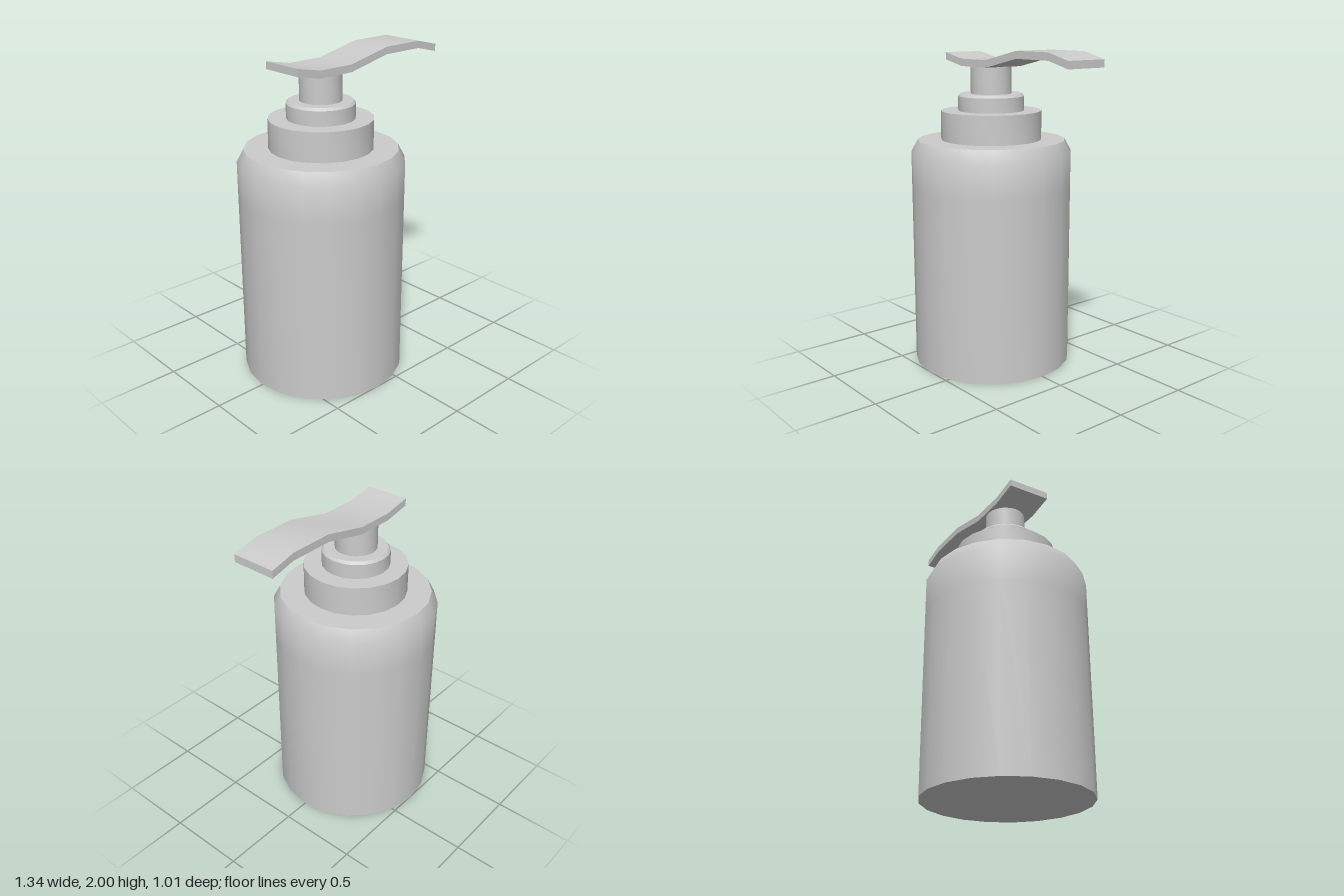
import * as THREE from 'three';
import { toCreasedNormals } from 'three/addons/utils/BufferGeometryUtils.js';

const SIDES = 20;
const AXIS_X = -0.168; // the bottle stands left of centre, balancing the spout

export function createModel() {
  const group = new THREE.Group();
  group.name = 'pumpBottle';
  const material = new THREE.MeshStandardMaterial({ color: 0xcccccc });

  function add(name, geometry, crease = 0.65) {
    const mesh = new THREE.Mesh(toCreasedNormals(geometry, crease), material);
    mesh.name = name;
    group.add(mesh);
    return mesh;
  }

  // Closed turned part from [radius, height] pairs, bottom to top
  function turned(name, profile) {
    const first = profile[0], last = profile[profile.length - 1];
    const points = [[0, first[1]], ...profile, [0, last[1]]].map(([r, y]) => new THREE.Vector2(r, y));
    add(name, new THREE.LatheGeometry(points, SIDES)).position.x = AXIS_X;
  }

  // Bottle and the stepped pump on top of it
  turned('bottle', [[0.504, 0], [0.504, 1.15], [0.504, 1.363], [0.463, 1.44]]);
  turned('collar', [[0.315, 1.44], [0.315, 1.62]]);
  turned('pumpCap', [[0.206, 1.62], [0.206, 1.71], [0.192, 1.725]]);
  turned('stem', [[0.127, 1.725], [0.127, 1.893]]);

  // Wavy flat press lever, an even band extruded across z
  const top = [[-0.455, 1.97], [-0.286, 1.936], [-0.05, 1.936], [0.235, 2], [0.51, 2], [0.667, 1.961]];
  const thickness = 0.045;
  const bottom = top.map(([x, y]) => [x, y - thickness]).reverse();
  const outline = [...top, ...bottom].map(([x, y]) => new THREE.Vector2(x, y));
  const width = 0.275;
  const lever = new THREE.ExtrudeGeometry(new THREE.Shape(outline), { depth: width, bevelEnabled: false });
  lever.translate(0, 0, -width / 2);
  add('pressLever', lever);

  return group;
}
